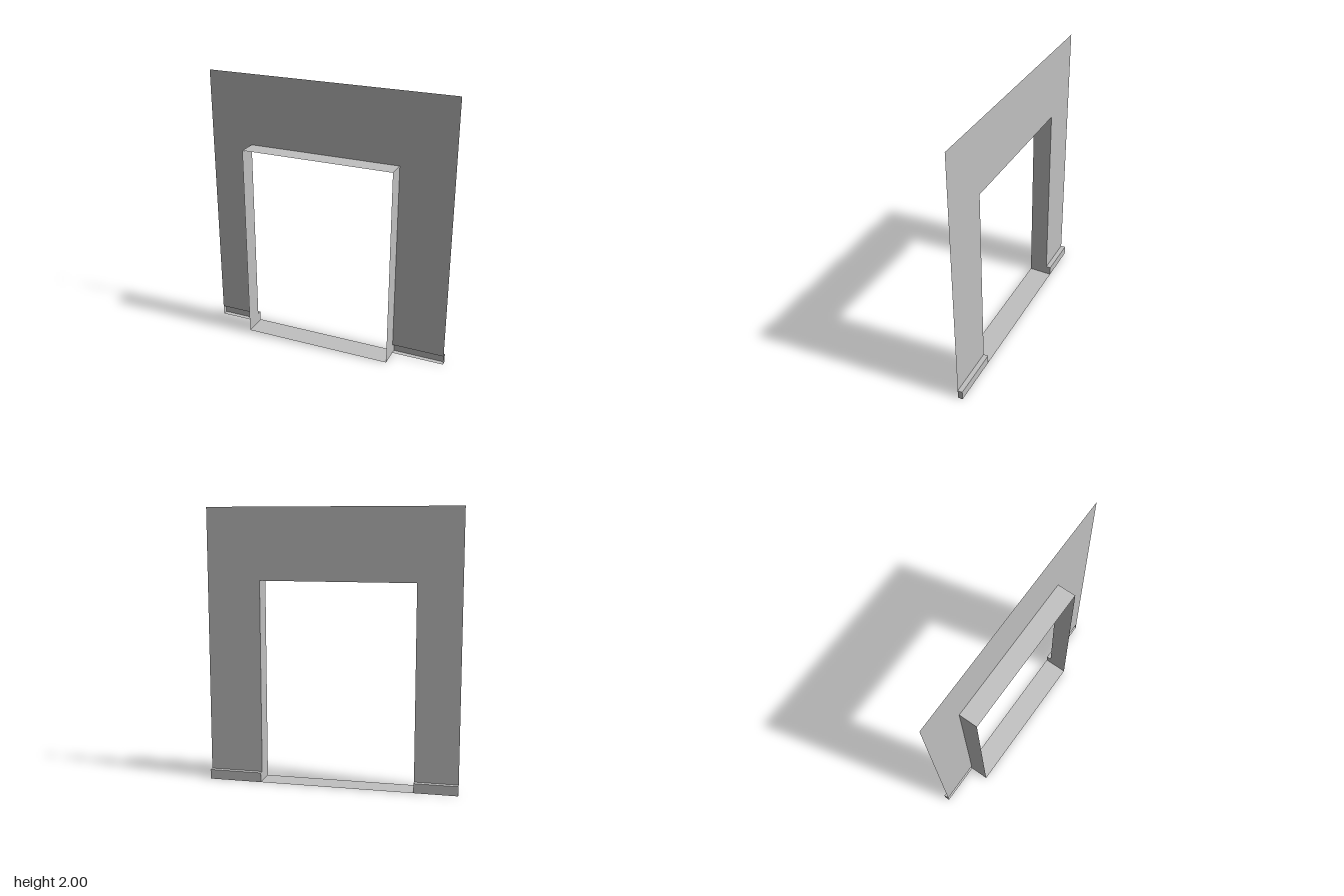
import * as THREE from 'three';

const OUT = 0.915;                       // half width of the wall
const LEFT = 0.525, RIGHT = -0.6;        // sides of the opening
const HEAD = 1.48, TOP = 2, SKIRT = 0.07;
const FRONT = 0.088, WALL = -0.052, BACK = -0.088;

export function createModel() {
  const plaster = new THREE.MeshStandardMaterial({ color: 0xc0c0c0, side: THREE.DoubleSide });
  plaster.name = 'plaster grey';
  const model = new THREE.Group();
  model.name = 'doorwayWall';

  const add = (parent, name, geometry) => {
    const mesh = new THREE.Mesh(geometry, plaster);
    mesh.name = name;
    parent.add(mesh);
    return mesh;
  };
  // Flat sheets square to each axis
  const sheetX = (parent, name, x, y0, y1, z0, z1) =>
    add(parent, name, new THREE.PlaneGeometry(z1 - z0, y1 - y0).rotateY(Math.PI / 2)
      .translate(x, (y0 + y1) / 2, (z0 + z1) / 2));
  const sheetY = (parent, name, y, x0, x1, z0, z1) =>
    add(parent, name, new THREE.PlaneGeometry(x1 - x0, z1 - z0).rotateX(-Math.PI / 2)
      .translate((x0 + x1) / 2, y, (z0 + z1) / 2));
  const sheetZ = (parent, name, z, x0, x1, y0, y1) =>
    add(parent, name, new THREE.PlaneGeometry(x1 - x0, y1 - y0)
      .translate((x0 + x1) / 2, (y0 + y1) / 2, z));

  // Wall sheet, stopping above the skirting recess
  const outline = new THREE.Shape([
    [-OUT, SKIRT], [RIGHT, SKIRT], [RIGHT, HEAD], [LEFT, HEAD],
    [LEFT, SKIRT], [OUT, SKIRT], [OUT, TOP], [-OUT, TOP],
  ].map(([x, y]) => new THREE.Vector2(x, y)));
  add(model, 'wall', new THREE.ShapeGeometry(outline).translate(0, 0, WALL));

  // Lining of the opening
  const lining = new THREE.Group();
  lining.name = 'openingLining';
  model.add(lining);
  sheetX(lining, 'leftJamb', LEFT, 0, HEAD, WALL, FRONT);
  sheetX(lining, 'rightJamb', RIGHT, 0, HEAD, WALL, FRONT);
  sheetY(lining, 'lintel', HEAD, RIGHT, LEFT, WALL, FRONT);
  sheetY(lining, 'threshold', 0, RIGHT, LEFT, BACK, FRONT);

  // Skirtings, open toward the front
  for (const [name, x0, x1] of [['rightSkirting', -OUT, RIGHT], ['leftSkirting', LEFT, OUT]]) {
    const skirting = new THREE.Group();
    skirting.name = name;
    model.add(skirting);
    sheetZ(skirting, 'skirtingFace', BACK, x0, x1, 0, SKIRT);
    sheetY(skirting, 'skirtingTop', SKIRT, x0, x1, BACK, WALL);
    sheetY(skirting, 'skirtingBottom', 0, x0, x1, BACK, WALL);
    for (const x of [x0, x1]) sheetX(skirting, 'skirtingEnd', x, 0, SKIRT, BACK, WALL);
  }
  return model;
}
